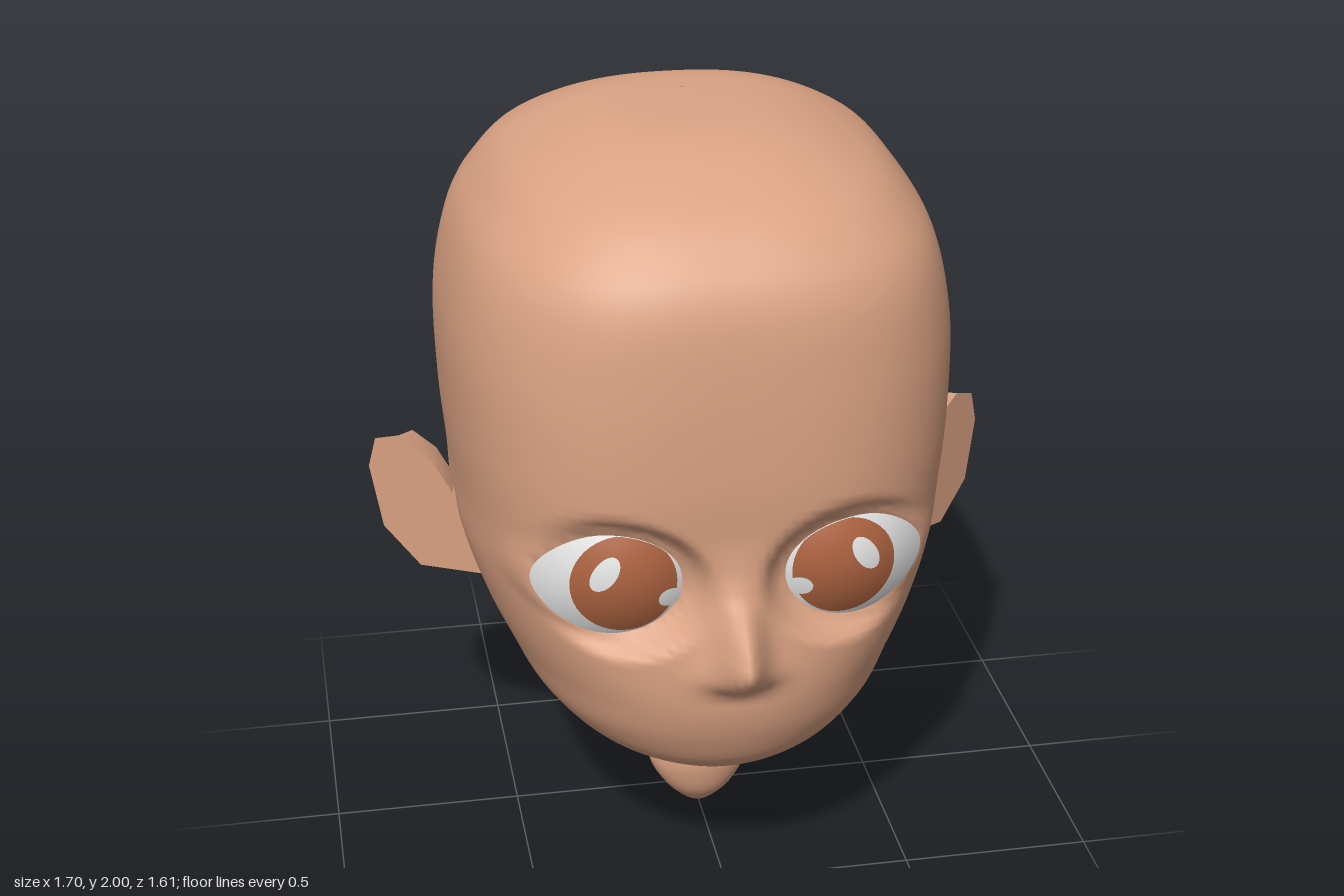
import * as THREE from 'three';
import { toCreasedNormals } from 'three/addons/utils/BufferGeometryUtils.js';

// Skull, jaw and neck sections, top down: y, half width, front z, back z, z of widest point, squareness
const SECTIONS = [
  [2.0, 0.001, -0.149, -0.151, -0.15, 2.2],
  [1.985, 0.25, 0.2, -0.34, -0.15, 2.4],
  [1.9, 0.45, 0.43, -0.55, -0.15, 2.6],
  [1.8, 0.55, 0.56, -0.67, -0.15, 2.8],
  [1.68, 0.615, 0.63, -0.745, -0.15, 2.9],
  [1.48, 0.655, 0.657, -0.8, -0.15, 2.9],
  [1.24, 0.655, 0.665, -0.8, -0.15, 2.9],
  [1.05, 0.64, 0.655, -0.735, -0.15, 2.9],
  [0.9, 0.63, 0.66, -0.67, -0.14, 2.7],
  [0.75, 0.585, 0.675, -0.55, -0.1, 2.5],
  [0.63, 0.53, 0.675, -0.445, -0.03, 2.3],
  [0.52, 0.465, 0.645, -0.32, 0.07, 2.2],
  [0.42, 0.36, 0.585, -0.2, 0.14, 2.1],
  [0.35, 0.23, 0.47, -0.135, 0.12, 2],
  [0.29, 0.165, 0.25, -0.08, 0.08, 2],
  [0.23, 0.137, 0.2, -0.055, 0.07, 2],
  [0.14, 0.135, 0.19, -0.02, 0.08, 2],
  [0.07, 0.095, 0.17, 0.01, 0.09, 2],
  [0.02, 0.045, 0.13, 0.05, 0.09, 2],
  [0.0, 0.001, 0.101, 0.099, 0.1, 2],
];
// Nose: y, how far it stands out, half width
const NOSE = [
  [1.1, 0, 0.05], [1.0, 0.012, 0.05], [0.95, 0.03, 0.05], [0.9, 0.07, 0.05], [0.85, 0.112, 0.052],
  [0.8, 0.135, 0.058], [0.77, 0.125, 0.065], [0.73, 0.08, 0.08], [0.69, 0.018, 0.085], [0.66, 0, 0.085],
];
const EYE = { x: 0.315, y: 0.97, a: 0.185, b: 0.143 };

const eyeZ = (x, y) => 0.628 - 2.2 * (x - 0.26) ** 2 - 2 * (y - 0.99) ** 2;
const taper = (u) => 1 - 0.2 * Math.min(1, Math.max(0, u)) ** 2;
// Almond coordinates; the rim lies at length 1
function eyeUV(x, y) {
  const u = (x - EYE.x) / EYE.a;
  return [u, (y - EYE.y) / (EYE.b * taper(u))];
}

function nose(x, y) {
  for (let i = 0; i < NOSE.length - 1; i++) {
    const [y0, h0, w0] = NOSE[i], [y1, h1, w1] = NOSE[i + 1];
    if (y <= y0 && y > y1) {
      const t = (y0 - y) / (y0 - y1);
      const w = w0 + (w1 - w0) * t;
      return (h0 + (h1 - h0) * t) * Math.exp(-((x / w) ** 2));
    }
  }
  return 0;
}

// Eye socket and nose shaping on the front of the face
function faceZ(x, y, z) {
  if (z < 0.25) return z;
  const ax = Math.abs(x);
  const d = Math.hypot(...eyeUV(ax, y));
  if (d < 1.4) {
    const sunk = eyeZ(ax, y) - 0.005 - 0.03 * (1 - THREE.MathUtils.smoothstep(d, 0.85, 1));
    z = THREE.MathUtils.lerp(sunk, z, THREE.MathUtils.smoothstep(d, 1, 1.4));
  }
  return z + nose(x, y);
}

function build(points, index) {
  const g = new THREE.BufferGeometry();
  g.setAttribute('position', new THREE.Float32BufferAttribute(points, 3));
  g.setIndex(index);
  g.computeVertexNormals();
  return g;
}

function headGeometry() {
  const cols = 100, step = 9, rows = (SECTIONS.length - 1) * step;
  const spline = new THREE.CubicInterpolant(SECTIONS.map((_, i) => i), SECTIONS.flat(), 6, new Float32Array(6));
  const points = [], index = [];
  for (let i = 0; i <= rows; i++) {
    const [y, w, zf, zb, cz, n] = spline.evaluate(i / step);
    for (let j = 0; j < cols; j++) {
      const phi = (j / cols) * Math.PI * 2;
      const a = phi - 0.5 * Math.sin(phi); // finer towards the face
      const s = Math.sin(a), c = Math.cos(a);
      const e = c > 0 ? n : Math.min(n, 2.35);
      const r = (Math.abs(s) ** e + Math.abs(c) ** e) ** (-1 / e);
      const x = w * r * s;
      const z = cz + (c > 0 ? zf - cz : cz - zb) * r * c;
      points.push(x, y, faceZ(x, y, z));
      if (i < rows) {
        const k = (j + 1) % cols, p = i * cols, q = p + cols;
        index.push(p + j, q + j, q + k, p + j, q + k, p + k);
      }
    }
  }
  return build(points, index);
}

// Disc laid over the curved eye and kept inside its rim
function eyePatch(cx, cy, rx, ry, tilt, lift) {
  const rings = 8, seg = 48, points = [], index = [];
  for (let i = 0; i <= rings; i++) {
    for (let j = 0; j < seg; j++) {
      const a = (j / seg) * Math.PI * 2, r = i / rings;
      const px = rx * r * Math.cos(a), py = ry * r * Math.sin(a);
      let x = cx + px * Math.cos(tilt) - py * Math.sin(tilt);
      let y = cy + px * Math.sin(tilt) + py * Math.cos(tilt);
      let [u, v] = eyeUV(x, y);
      const d = Math.max(1, Math.hypot(u, v));
      u /= d; v /= d;
      x = EYE.x + EYE.a * u;
      y = EYE.y + EYE.b * taper(u) * v;
      points.push(x, y, eyeZ(x, y) + lift);
      if (i < rings) {
        const k = (j + 1) % seg, p = i * seg, q = p + seg;
        index.push(p + j, q + j, q + k, p + j, q + k, p + k);
      }
    }
  }
  return build(points, index);
}

// Ear: flat slanted front, bulging back
function earGeometry() {
  const outline = [[0.57, 0.94], [0.64, 0.955], [0.69, 1.03], [0.77, 1.08], [0.83, 1.05],
    [0.85, 0.96], [0.82, 0.79], [0.73, 0.705], [0.57, 0.742]];
  const n = outline.length, points = [], index = [];
  for (const [x, y] of outline) points.push(x, y, -0.03 - (x - 0.65) * 0.95);
  for (const [x, y] of outline) {
    const bx = x < 0.6 ? x : 0.6 + (x - 0.6) * 0.75;
    points.push(bx, 0.89 + (y - 0.89) * 0.88, -0.19 - (bx - 0.66) * 0.45);
  }
  points.push(0.7, 0.89, -0.0775, 0.69, 0.89, -0.215);
  for (let i = 0; i < n; i++) {
    const k = (i + 1) % n;
    index.push(2 * n, k, i, 2 * n + 1, n + i, n + k, i, k, n + k, i, n + k, n + i);
  }
  return toCreasedNormals(build(points, index), 0.7);
}

// Copy reflected in x, with corners reordered to keep faces outward
function mirrored(geometry) {
  const g = geometry.index ? geometry.toNonIndexed() : geometry.clone();
  g.scale(-1, 1, 1);
  for (const name of ['position', 'normal']) {
    const attr = g.getAttribute(name), v = new THREE.Vector3(), w = new THREE.Vector3();
    for (let i = 0; i < attr.count; i += 3) {
      v.fromBufferAttribute(attr, i + 1);
      w.fromBufferAttribute(attr, i + 2);
      attr.setXYZ(i + 1, w.x, w.y, w.z);
      attr.setXYZ(i + 2, v.x, v.y, v.z);
    }
  }
  return g;
}

export function createModel() {
  const material = (name, color) => Object.assign(new THREE.MeshStandardMaterial({ color }), { name });
  const skin = material('skin', 0xdba283);
  const white = material('eyeWhite', 0xebebeb);
  const brown = material('irisBrown', 0xad6340);

  const model = new THREE.Group();
  model.name = 'head';
  const add = (name, geometry, mat) => {
    const mesh = new THREE.Mesh(geometry, mat);
    mesh.name = name;
    model.add(mesh);
  };
  const addPair = (name, geometry, mat) => {
    add('left' + name, geometry, mat);
    add('right' + name, mirrored(geometry), mat);
  };

  add('skullAndNeck', headGeometry(), skin);
  addPair('Ear', earGeometry(), skin);
  addPair('EyeWhite', eyePatch(EYE.x, EYE.y, EYE.a, EYE.b * 1.02, 0, 0), white);
  addPair('Iris', eyePatch(0.278, 0.978, 0.133, 0.135, 0, 0.004), brown);
  addPair('EyeHighlight', eyePatch(0.328, 1.02, 0.028, 0.052, 0.6, 0.008), white);
  addPair('EyeGlint', eyePatch(0.165, 0.937, 0.03, 0.026, 0, 0.008), white);
  return model;
}
